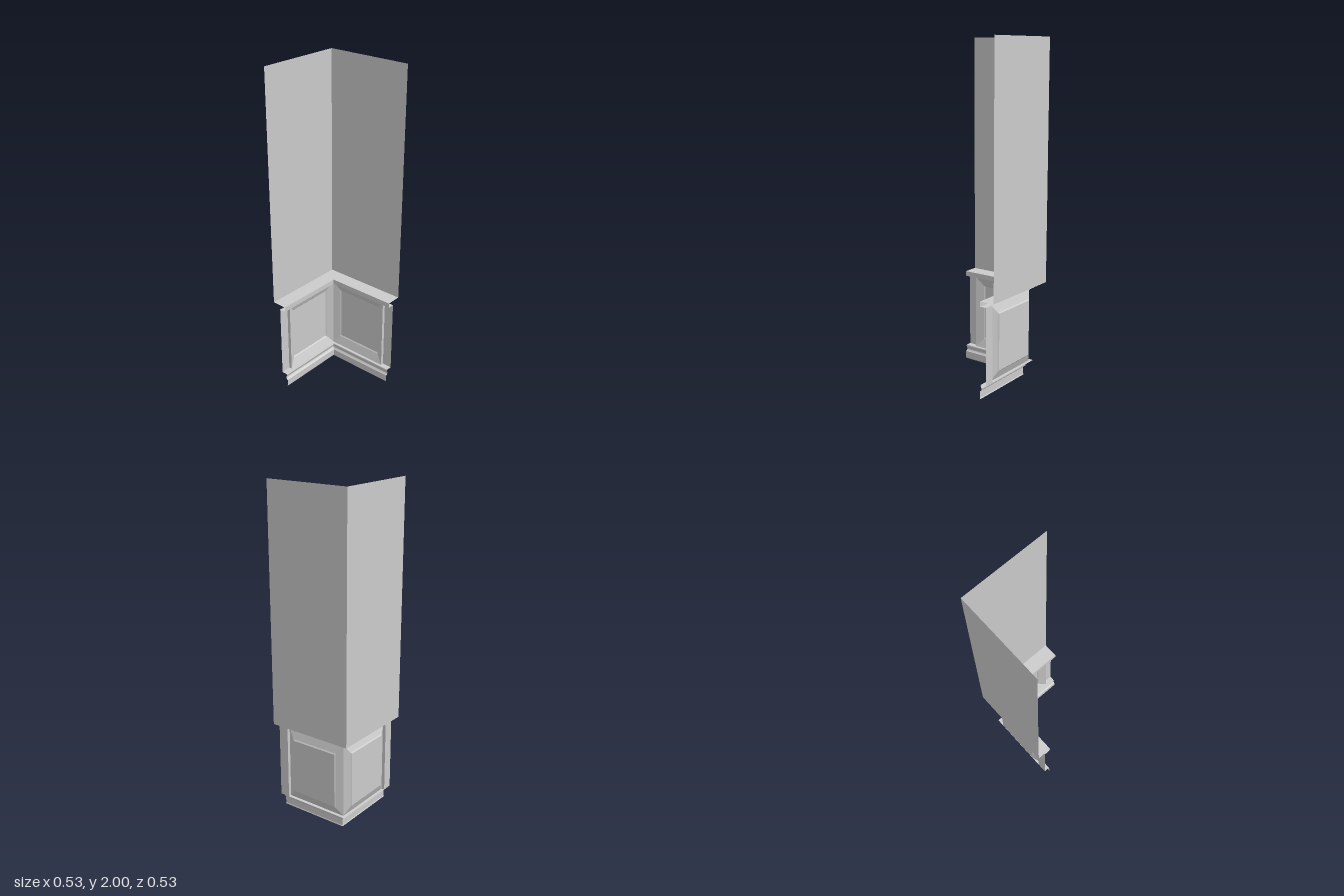
import * as THREE from 'three';

const material = new THREE.MeshStandardMaterial({ color: 0xcccccc, side: THREE.DoubleSide, flatShading: true });
const END = 0.265; // free end of each wall

// Flat-shaded sheet through rows of [x, y, z] points
function sheet(name, rows) {
  const pos = [];
  for (let i = 0; i < rows.length - 1; i++) {
    for (let j = 0; j < rows[i].length - 1; j++) {
      const a = rows[i][j], b = rows[i + 1][j], c = rows[i + 1][j + 1], d = rows[i][j + 1];
      pos.push(...a, ...b, ...c, ...a, ...c, ...d);
    }
  }
  const geo = new THREE.BufferGeometry();
  geo.setAttribute('position', new THREE.Float32BufferAttribute(pos, 3));
  geo.computeVertexNormals();
  const mesh = new THREE.Mesh(geo, material);
  mesh.name = name;
  return mesh;
}

// Profile of [depth, y] points swept along both walls with a mitred corner
function cornerRun(name, profile) {
  return sheet(name, profile.map(([d, y]) => [[-END, y, -d], [d, y, -d], [d, y, END]]));
}

// Placement of (u along wall, y, depth) on the back wall and, mirrored, on the side wall
const onBack = ([u, y, d]) => [u, y, -d];
const onSide = ([u, y, d]) => [d, y, -u];

function wainscot(name, place, mirrored) {
  const group = new THREE.Group();
  group.name = name;
  const add = (part, rows) => {
    const placed = rows.map((row) => row.map(place));
    group.add(sheet(part, mirrored ? placed.reverse() : placed));
  };
  const ring = (l, r, b, t, d) => [[l, b, d], [l, t, d], [r, t, d], [r, b, d], [l, b, d]];

  // Flat stile at the free end, with the return up to the frame
  const column = [[-END, 0.214], [-0.204, 0.214], [-0.204, 0.194]];
  add('stile', [0.545, 0.088].map((y) => column.map(([u, d]) => [u, y, d])));

  // Sloping frame, small inner step and flat field
  const outer = ring(-0.204, 0.194, 0.088, 0.545, 0.194);
  const inner = ring(-0.158, 0.156, 0.138, 0.49, 0.216);
  const field = ring(-0.151, 0.149, 0.145, 0.483, 0.222);
  add('panelFrame', [outer, inner]);
  add('panelStep', [inner, field]);
  add('panelField', [field, ring(0, 0, 0.314, 0.314, 0.222)]);
  return group;
}

export function createModel() {
  const model = new THREE.Group();
  model.name = 'panelledWallCorner';

  model.add(cornerRun('upperWall', [[END, 2], [END, 0.575]]));
  model.add(cornerRun('ledge', [[END, 0.575], [0.173, 0.575], [0.173, 0.545], [0.214, 0.545]]));
  model.add(wainscot('backWainscot', onBack, false));
  model.add(wainscot('sideWainscot', onSide, true));

  // Moulded skirting along the floor
  model.add(cornerRun('baseboard', [
    [0.214, 0.088], [0.178, 0.088], [0.176, 0.082], [0.179, 0.074], [0.183, 0.066],
    [0.182, 0.058], [0.177, 0.052], [0.171, 0.047], [0.171, 0.006], [0.174, 0],
  ]));
  return model;
}
